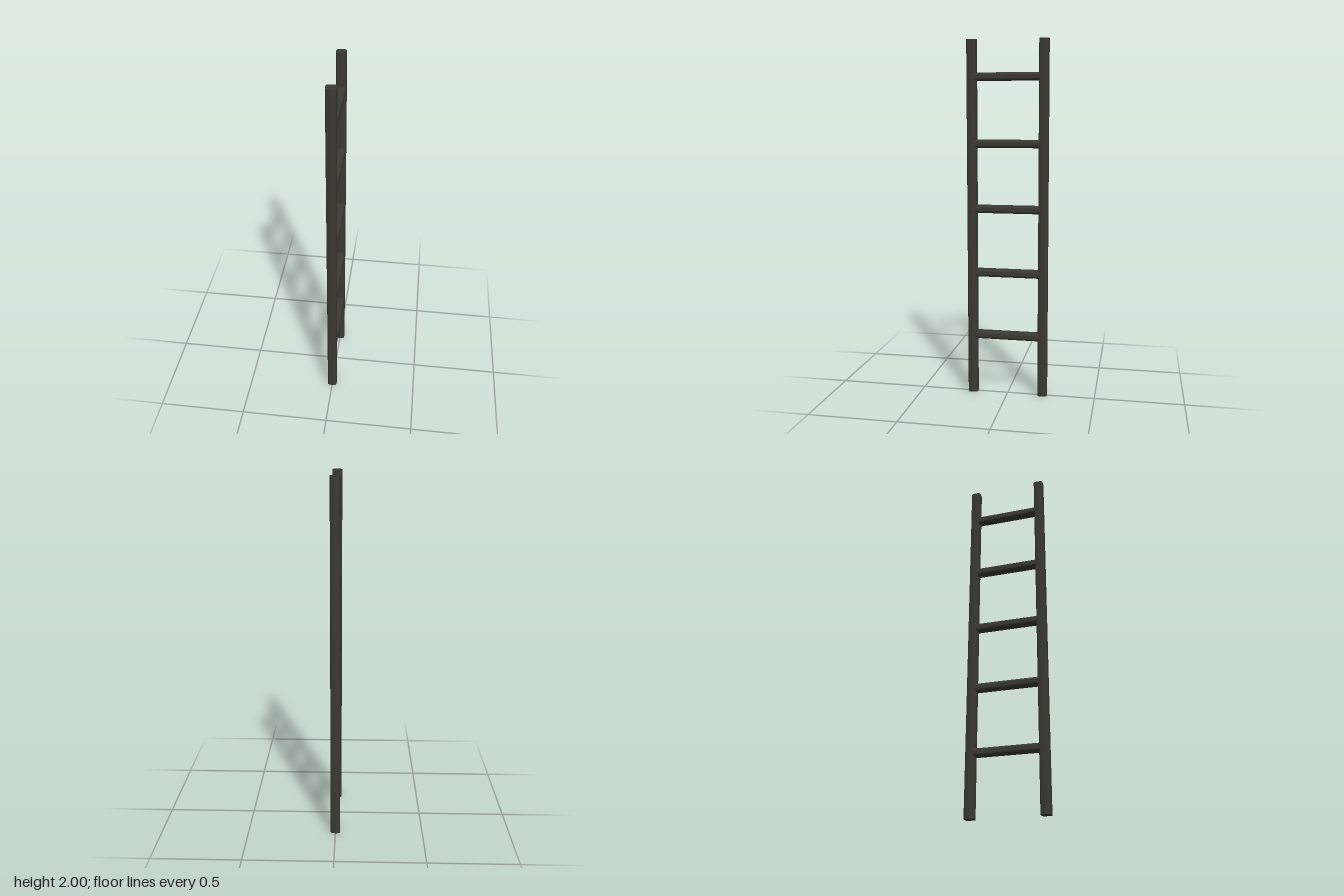
import * as THREE from 'three';
import { toCreasedNormals } from 'three/addons/utils/BufferGeometryUtils.js';

// Bar with a rounded rectangular section, centred and running along z
function roundedBar(width, height, radius, length) {
  const x = width / 2, y = height / 2, r = radius;
  const s = new THREE.Shape();
  s.moveTo(-x + r, -y);
  s.lineTo(x - r, -y);
  s.quadraticCurveTo(x, -y, x, -y + r);
  s.lineTo(x, y - r);
  s.quadraticCurveTo(x, y, x - r, y);
  s.lineTo(-x + r, y);
  s.quadraticCurveTo(-x, y, -x, y - r);
  s.lineTo(-x, -y + r);
  s.quadraticCurveTo(-x, -y, -x + r, -y);
  const geo = new THREE.ExtrudeGeometry(s, { depth: length, bevelEnabled: false, curveSegments: 4 });
  geo.translate(0, 0, -length / 2);
  return toCreasedNormals(geo, 0.7);
}

export function createModel() {
  const ladder = new THREE.Group();
  ladder.name = 'ladder';
  const darkWood = new THREE.MeshStandardMaterial({ color: 0x3b3a32 });
  darkWood.name = 'darkWood';

  // Two upright rails, spread very slightly towards the foot
  for (const side of [1, -1]) {
    const geo = roundedBar(0.054, 0.054, 0.016, 2);
    geo.rotateX(-Math.PI / 2);
    geo.translate(0, 1, 0);
    const p = geo.attributes.position;
    for (let i = 0; i < p.count; i++) {
      p.setZ(i, p.getZ(i) + side * (0.2 + 0.002 * (1 - p.getY(i) / 2)));
    }
    const rail = new THREE.Mesh(geo, darkWood);
    rail.name = side > 0 ? 'frontRail' : 'backRail';
    ladder.add(rail);
  }

  // Five evenly spaced rungs between the rails
  const rungGeo = roundedBar(0.053, 0.045, 0.016, 0.37);
  for (let i = 0; i < 5; i++) {
    const rung = new THREE.Mesh(rungGeo, darkWood);
    rung.name = `rung${i + 1}`;
    rung.position.y = 0.344 + i * 0.364;
    ladder.add(rung);
  }
  return ladder;
}
